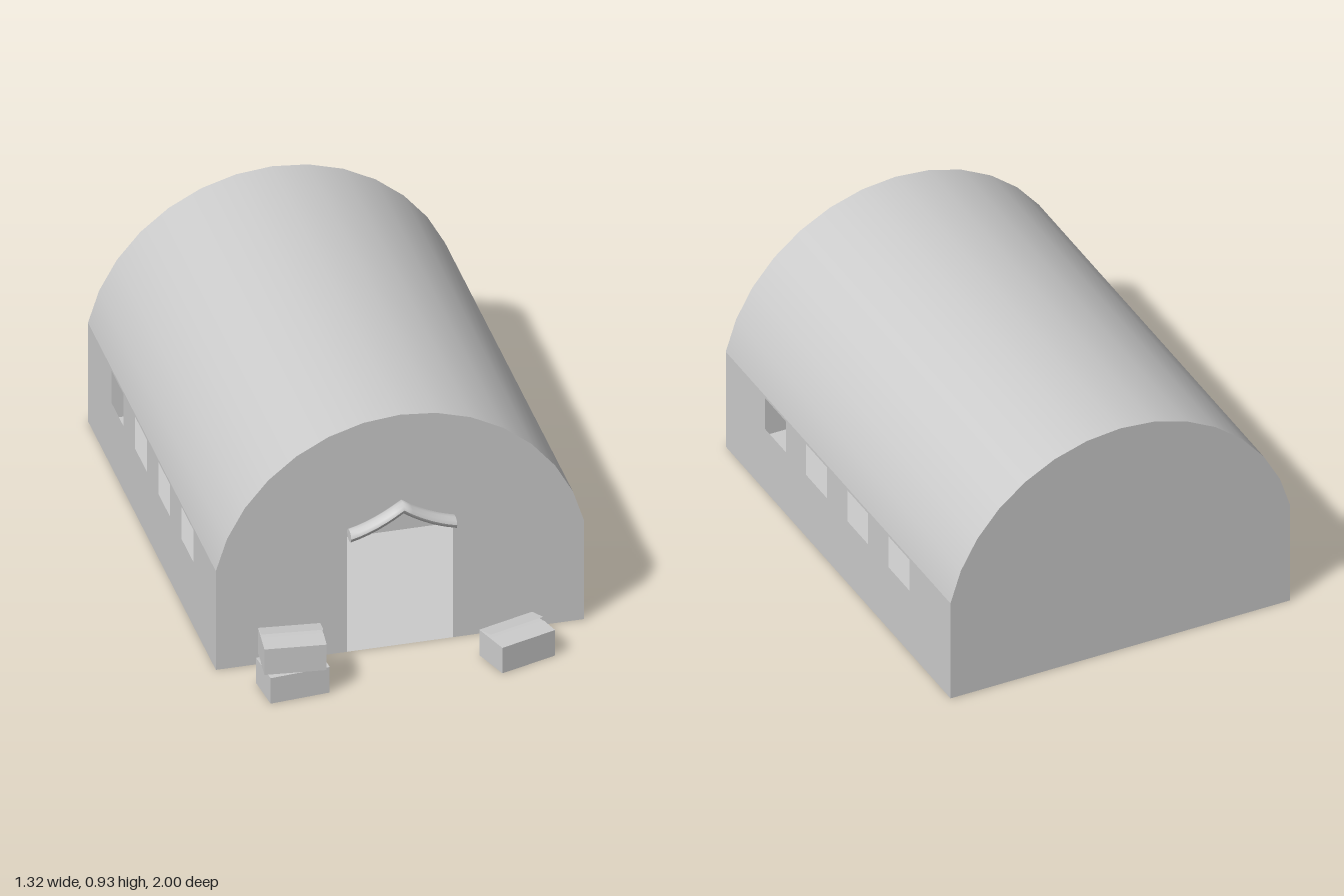
import * as THREE from 'three';

const W = 0.66, WALL = 0.4, BACK = -1, FRONT = 0.72;
const R = 0.676, CY = 0.255, SPAN = 2 * Math.acos((WALL - CY) / R), SEGS = 14;
const MID = (FRONT + BACK) / 2, LEN = FRONT - BACK;

const grey = new THREE.MeshStandardMaterial({ color: 0xcccccc });
const thin = new THREE.MeshStandardMaterial({ color: 0xcccccc, side: THREE.DoubleSide });

function add(parent, name, geometry, material = grey) {
  const mesh = new THREE.Mesh(geometry, material);
  mesh.name = name;
  parent.add(mesh);
  return mesh;
}

// End wall outline: straight sides under a circular arch, optional doorway
function endWall(doorway) {
  const pts = [[-W, 0]];
  if (doorway) pts.push([-0.19, 0], [-0.19, 0.465], [0.19, 0.465], [0.19, 0]);
  pts.push([W, 0]);
  for (let i = 0; i <= SEGS; i++) {
    const a = SPAN / 2 - (SPAN * i) / SEGS;
    pts.push([R * Math.sin(a), CY + R * Math.cos(a)]);
  }
  return new THREE.ShapeGeometry(new THREE.Shape(pts.map(p => new THREE.Vector2(...p))));
}

function rect(target, x0, y0, x1, y1) {
  return target.moveTo(x0, y0).lineTo(x1, y0).lineTo(x1, y1).lineTo(x0, y1).closePath();
}

// Side wall with four square windows (shape x runs along -z)
function sideWall() {
  const s = rect(new THREE.Shape(), -FRONT, 0, -BACK, WALL);
  for (let i = 0; i < 4; i++) {
    const c = -0.34 + i * 0.315;
    s.holes.push(rect(new THREE.Path(), c - 0.08, 0.26, c + 0.08, 0.39));
  }
  return new THREE.ShapeGeometry(s).rotateY(Math.PI / 2);
}

// Carton with two top flaps, the rear one lifted
function carton(name, x, y, z, turn) {
  const g = new THREE.Group();
  g.name = name;
  const w = 0.218, h = 0.103, d = 0.145;
  add(g, 'cartonBody', new THREE.BoxGeometry(w, h, d)).position.y = h / 2;
  for (const [side, lift] of [[1, 0.03], [-1, 0.21]]) {
    const hinge = new THREE.Group();
    hinge.position.set(0, h + 0.001, side * d / 2);
    hinge.rotation.x = side * lift;
    const flap = add(hinge, 'cartonFlap', new THREE.PlaneGeometry(w, d / 2).rotateX(-Math.PI / 2), thin);
    flap.position.z = -side * d / 4;
    g.add(hinge);
  }
  g.position.set(x, y, z);
  g.rotation.y = turn;
  return g;
}

export function createModel() {
  const model = new THREE.Group();
  model.name = 'archedHall';

  // Shell
  const roof = add(model, 'archedRoof', new THREE.CylinderGeometry(R, R, LEN, SEGS, 1, true,
    Math.PI - SPAN / 2, SPAN).rotateX(Math.PI / 2), thin);
  roof.position.set(0, CY, MID);
  for (const s of [1, -1]) {
    add(model, s > 0 ? 'leftWall' : 'rightWall', sideWall(), thin).position.x = s * W;
  }
  add(model, 'frontWall', endWall(true), thin).position.z = FRONT;
  add(model, 'backWall', endWall(false), thin).position.z = BACK;
  const floor = add(model, 'floor', new THREE.PlaneGeometry(2 * W, LEN).rotateX(-Math.PI / 2), thin);
  floor.position.z = MID;

  // Swept canopy over the doorway: a rounded bar bent up to a central peak
  const canopy = new THREE.CylinderGeometry(1, 1, 0.38, 10, 12).rotateZ(Math.PI / 2);
  const p = canopy.attributes.position;
  for (let i = 0; i < p.count; i++) {
    const t = 1 - Math.abs(p.getX(i)) / 0.19;
    p.setY(i, 0.488 + p.getY(i) * 0.023 + 0.089 * (0.5 * t + 0.5 * t * t));
    p.setZ(i, 0.75 + p.getZ(i) * 0.029);
  }
  canopy.computeVertexNormals();
  add(model, 'doorCanopy', canopy);

  // Low furniture along both sides indoors
  for (const s of [1, -1]) {
    add(model, 'tallBench', new THREE.BoxGeometry(0.3, 0.23, 0.2)).position.set(s * 0.25, 0.115, -0.7);
    add(model, 'lowBench', new THREE.BoxGeometry(0.3, 0.18, 0.2)).position.set(s * 0.29, 0.09, -0.4);
  }

  // Cartons outside
  model.add(
    carton('lowerCarton', -0.433, 0, 0.905, 0.09),
    carton('upperCarton', -0.435, 0.106, 0.905, -0.11),
    carton('singleCarton', 0.374, 0, 0.895, 0.32),
  );
  return model;
}
